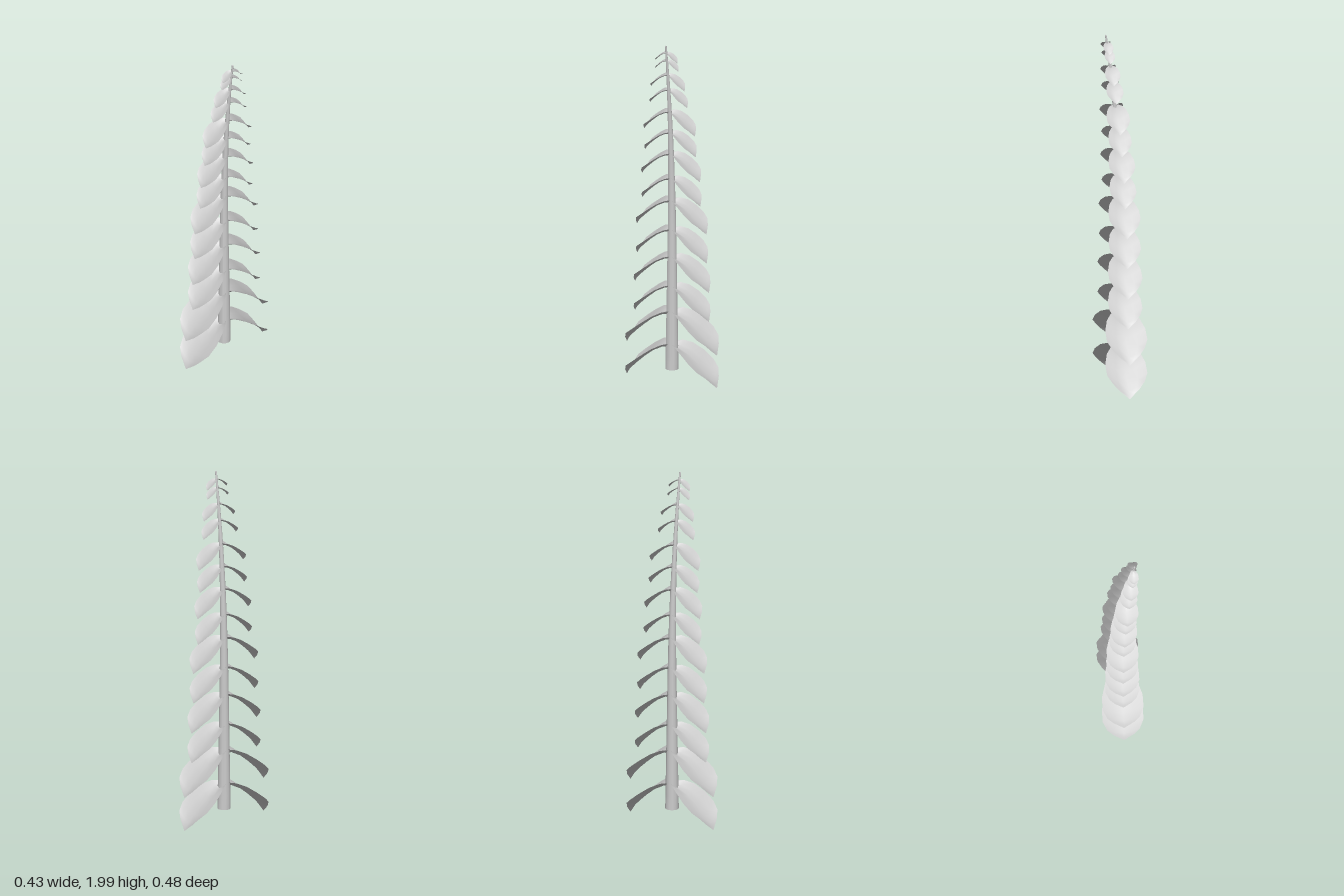
import * as THREE from 'three';

const material = new THREE.MeshStandardMaterial({ color: 0xcccccc, side: THREE.DoubleSide });

// Sideways bend of the stem at a given height
function bend(y) {
  const t = Math.max(0, (y - 0.75) / 1.25) ** 2.5;
  return [0.06 * t, 0.05 * t];
}

function createStem() {
  const base = 0.085, height = 1.915;
  const geometry = new THREE.CylinderGeometry(0.005, 0.037, height, 12, 24);
  geometry.translate(0, base + height / 2, 0);
  const p = geometry.attributes.position;
  for (let i = 0; i < p.count; i++) {
    const [x, z] = bend(p.getY(i));
    p.setX(i, p.getX(i) + x);
    p.setZ(i, p.getZ(i) + z);
  }
  geometry.computeVertexNormals();
  const stem = new THREE.Mesh(geometry, material);
  stem.name = 'stem';
  return stem;
}

// Drooping leaf along +x with a gutter-shaped cross-section
function createLeafGeometry() {
  // midrib reach, midrib height, edge reach, edge half width, edge height
  const rows = [
    [0, 0, 0, 0.02, 0.028],
    [0.05, -0.005, 0.04, 0.06, 0.025],
    [0.11, -0.038, 0.085, 0.09, 0.005],
    [0.16, -0.08, 0.14, 0.11, -0.035],
    [0.205, -0.123, 0.195, 0.111, -0.08],
    [0.24, -0.16, 0.234, 0.088, -0.115],
    [0.255, -0.18, 0.251, 0.055, -0.152],
    [0.264, -0.2, 0.264, 0, -0.2],
  ];
  const columns = [-1, -0.5, 0, 0.5, 1];
  const n = columns.length;
  const positions = [], indices = [];
  for (const [mr, my, er, w, ey] of rows) {
    for (const c of columns) {
      const k = Math.abs(c) ** 1.4;
      positions.push(mr + (er - mr) * k, my + (ey - my) * k, w * c);
    }
  }
  for (let i = 0; i < rows.length - 1; i++) {
    for (let j = 0; j < n - 1; j++) {
      const a = i * n + j, b = a + 1, c = a + n, d = c + 1;
      indices.push(a, b, c);
      if (i < rows.length - 2) indices.push(b, d, c);
    }
  }
  // the last row is a single tip point
  const last = (rows.length - 1) * n;
  for (let k = 0; k < indices.length; k++) if (indices[k] >= last) indices[k] = last;
  const geometry = new THREE.BufferGeometry();
  geometry.setAttribute('position', new THREE.Float32BufferAttribute(positions, 3));
  geometry.setIndex(indices);
  geometry.computeVertexNormals();
  return geometry;
}

export function createModel() {
  const model = new THREE.Group();
  model.name = 'plant';
  model.add(createStem());

  // Opposite leaf pairs: height of the leaf tips, size
  const pairs = [
    [0.01, 1], [0.2, 1], [0.39, 0.82], [0.56, 0.82], [0.73, 0.77], [0.9, 0.77], [1.06, 0.64],
    [1.205, 0.64], [1.35, 0.56], [1.475, 0.56], [1.64, 0.41], [1.74, 0.37], [1.855, 0.25], [1.905, 0.24],
  ];
  const leafGeometry = createLeafGeometry();
  for (const [tipY, size] of pairs) {
    const y = tipY + 0.2 * size;
    const [x, z] = bend(y);
    const pair = new THREE.Group();
    pair.name = 'leafPair';
    pair.position.set(x, y, z);
    pair.rotation.y = 0.913;
    pair.scale.setScalar(size);
    for (const side of [0, 1]) {
      const leaf = new THREE.Mesh(leafGeometry, material);
      leaf.name = side ? 'frontLeaf' : 'backLeaf';
      leaf.rotation.y = side * Math.PI;
      pair.add(leaf);
    }
    model.add(pair);
  }
  return model;
}
